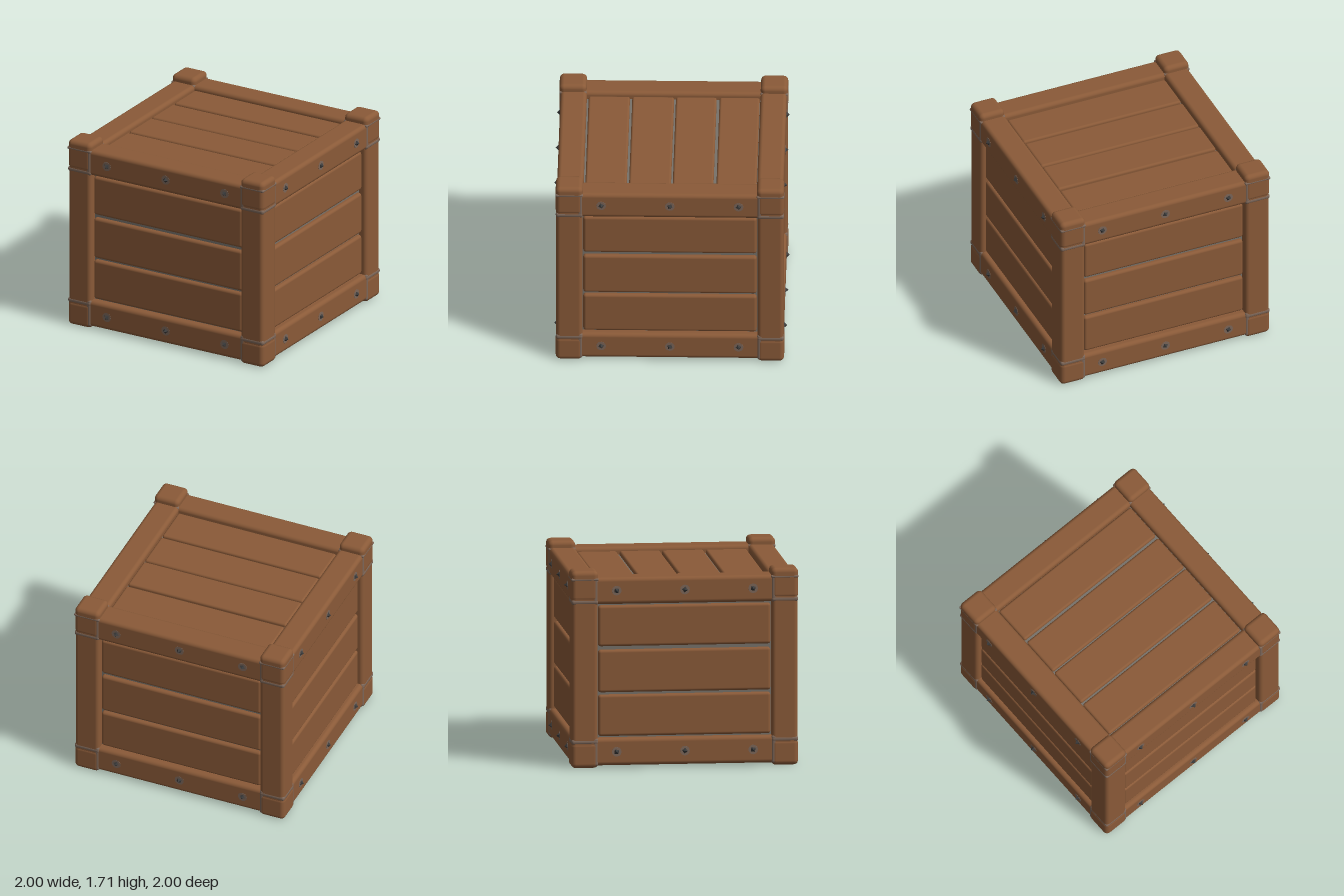
import * as THREE from 'three';
import { RoundedBoxGeometry } from 'three/addons/geometries/RoundedBoxGeometry.js';

const material = (name, color) => {
  const m = new THREE.MeshStandardMaterial({ color });
  m.name = name;
  return m;
};

export function createModel() {
  const wood = material('brown wood', 0x8a5a38);
  const worn = material('worn edge grey', 0x7c6658);
  const gap = material('gap grey', 0x77726a);
  const iron = material('dark iron', 0x3c3c3c);
  const dark = material('dark underside', 0x200c0e);

  const crate = new THREE.Group();
  crate.name = 'crate';

  const add = (parent, name, geometry, mat, x, y, z) => {
    const mesh = new THREE.Mesh(geometry, mat);
    mesh.name = name;
    mesh.position.set(x, y, z);
    parent.add(mesh);
    return mesh;
  };
  // Rounded block given by its lower and upper corners
  const block = (parent, name, mat, a, b, radius) => {
    const s = b.map((v, i) => v - a[i]);
    const c = b.map((v, i) => (v + a[i]) / 2);
    return add(parent, name, new RoundedBoxGeometry(s[0], s[1], s[2], 3, radius), mat, c[0], c[1], c[2]);
  };

  // Inner box seen through the gaps, and its dark underside
  add(crate, 'innerBox', new THREE.BoxGeometry(1.8, 1.5, 1.8), gap, 0, 0.835, 0);
  add(crate, 'underside', new THREE.BoxGeometry(1.8, 0.008, 1.8), dark, 0, 0.08, 0);

  // Top planks
  for (const [z0, z1] of [[-0.74, -0.395], [-0.37, -0.02], [-0.005, 0.355], [0.375, 0.73]]) {
    block(crate, 'topPlank', wood, [-0.74, 1.55, z0], [0.74, 1.62, z1], 0.02);
  }

  // Four sides: rails, planks, joint bands and studs
  const studGeometry = new THREE.ConeGeometry(0.034, 0.035, 4).toNonIndexed();
  studGeometry.computeVertexNormals();
  const ringGeometry = new THREE.CylinderGeometry(0.042, 0.042, 0.006, 12);
  for (let i = 0; i < 4; i++) {
    const side = new THREE.Group();
    side.name = ['frontSide', 'leftSide', 'backSide', 'rightSide'][i];
    side.rotation.y = i * Math.PI / 2;
    crate.add(side);

    for (const [y0, y1] of [[0.27, 0.63], [0.65, 1.02], [1.05, 1.405]]) {
      block(side, 'sidePlank', wood, [-0.745, y0, 0.85], [0.745, y1, 0.938], 0.025);
    }
    for (const [y0, y1] of [[0.02, 0.258], [1.42, 1.652]]) {
      block(side, 'rail', wood, [-0.82, y0, 0.745], [0.82, y1, 0.972], 0.035);
      for (const x of [-0.772, 0.772]) {
        block(side, 'railBand', worn, [x - 0.024, y0 - 0.003, 0.742], [x + 0.024, y1 + 0.003, 0.978], 0.02);
      }
      const y = y0 < 1 ? 0.14 : 1.54;
      for (const x of [-0.59, 0, 0.59]) {
        add(side, 'studRing', ringGeometry, worn, x, y, 0.971).rotation.x = Math.PI / 2;
        const stud = add(side, 'stud', studGeometry, iron, x, y, 0.983);
        stud.rotation.set(Math.PI / 2, x * 1.3 + i, 0);
      }
    }
  }

  // Corner posts with end caps and grey joint bands
  for (const sx of [-1, 1]) {
    for (const sz of [-1, 1]) {
      const post = new THREE.Group();
      post.name = 'cornerPost';
      post.position.set(sx * 0.864, 0, sz * 0.864);
      crate.add(post);
      const square = (name, mat, y0, y1, h, r) => block(post, name, mat, [-h, y0, -h], [h, y1, h], r);
      square('postShaft', wood, 0.1, 1.6, 0.113, 0.035);
      square('lowerCap', wood, 0, 0.225, 0.117, 0.04);
      square('upperCap', wood, 1.445, 1.712, 0.117, 0.04);
      square('lowerBand', worn, 0.205, 0.25, 0.116, 0.02);
      square('upperBand', worn, 1.42, 1.465, 0.116, 0.02);
      square('capBand', worn, 1.625, 1.65, 0.1185, 0.012);
    }
  }
  return crate;
}
